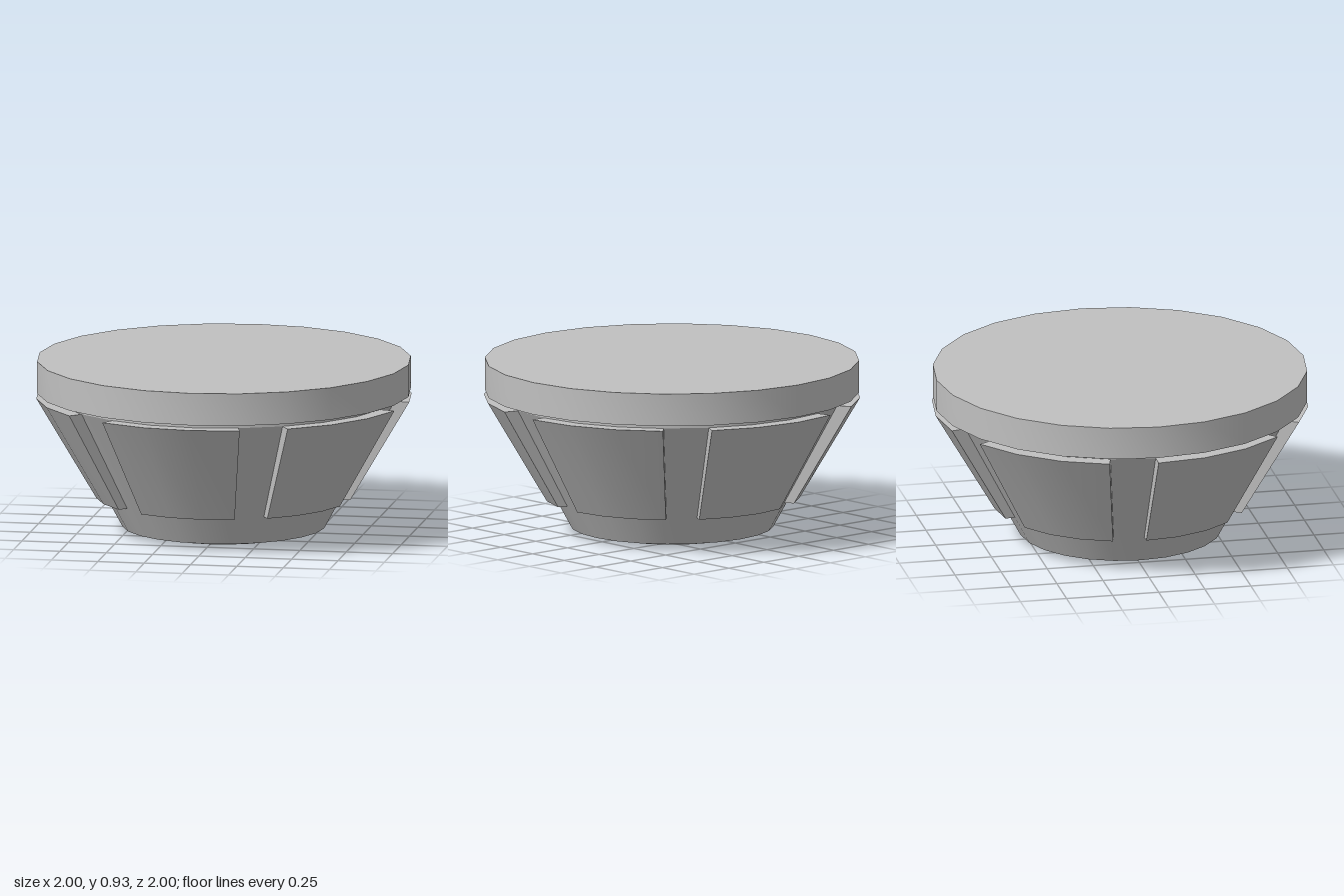
import * as THREE from 'three';
import { mergeGeometries, toCreasedNormals } from 'three/addons/utils/BufferGeometryUtils.js';

const STEP = Math.PI / 12; // 24-sided rounds
const CREASE = 0.4;

const toPoints = (profile) => profile.map(([r, y]) => new THREE.Vector2(r, y));

// Full turned part from a bottom-to-top outline
function turned(profile) {
  return toCreasedNormals(new THREE.LatheGeometry(toPoints(profile), 24), CREASE);
}

// Part of a turn, closed with a flat face at each end
function sector(profile, start, steps) {
  const points = toPoints(profile);
  const length = steps * STEP;
  const skin = new THREE.LatheGeometry(points, steps, start, length);
  const endFace = (angle) =>
    new THREE.ShapeGeometry(new THREE.Shape(points)).rotateY(angle - Math.PI / 2);
  const first = endFace(start);
  const last = endFace(start + length);
  last.index.array.reverse();
  return toCreasedNormals(mergeGeometries([skin, first, last]), CREASE);
}

export function createModel() {
  const group = new THREE.Group();
  const grey = new THREE.MeshStandardMaterial({ color: 0xc0c0c0 });
  grey.name = 'light grey';
  const dark = new THREE.MeshStandardMaterial({ color: 0x838383 });
  dark.name = 'dark grey';

  const add = (name, geometry, material) => {
    const mesh = new THREE.Mesh(geometry, material);
    mesh.name = name;
    group.add(mesh);
    return mesh;
  };

  // Wide top disc
  add('rim', turned([[0, 0.752], [0.995, 0.752], [0.995, 0.925], [0, 0.925]]), grey);

  // Tapered bowl with a short upright neck under the rim
  add('body', turned([[0, 0.026], [0.54, 0.026], [0.92, 0.725], [0.92, 0.755]]), grey);

  // Shallow foot with a darker underside
  add('footWall', turned([[0.415, 0], [0.415, 0.03]]), grey);
  add('footUnderside', new THREE.CircleGeometry(0.415, 24).rotateX(Math.PI / 2), dark);

  // Six raised panels, three facets wide with one-facet gaps
  const panelProfile = [[0.61, 0.183], [0.68, 0.183], [1, 0.725], [0.905, 0.725]];
  for (let i = 0; i < 6; i++) {
    add(`panel${i + 1}`, sector(panelProfile, (4 * i - 2) * STEP, 3), grey);
  }

  return group;
}
